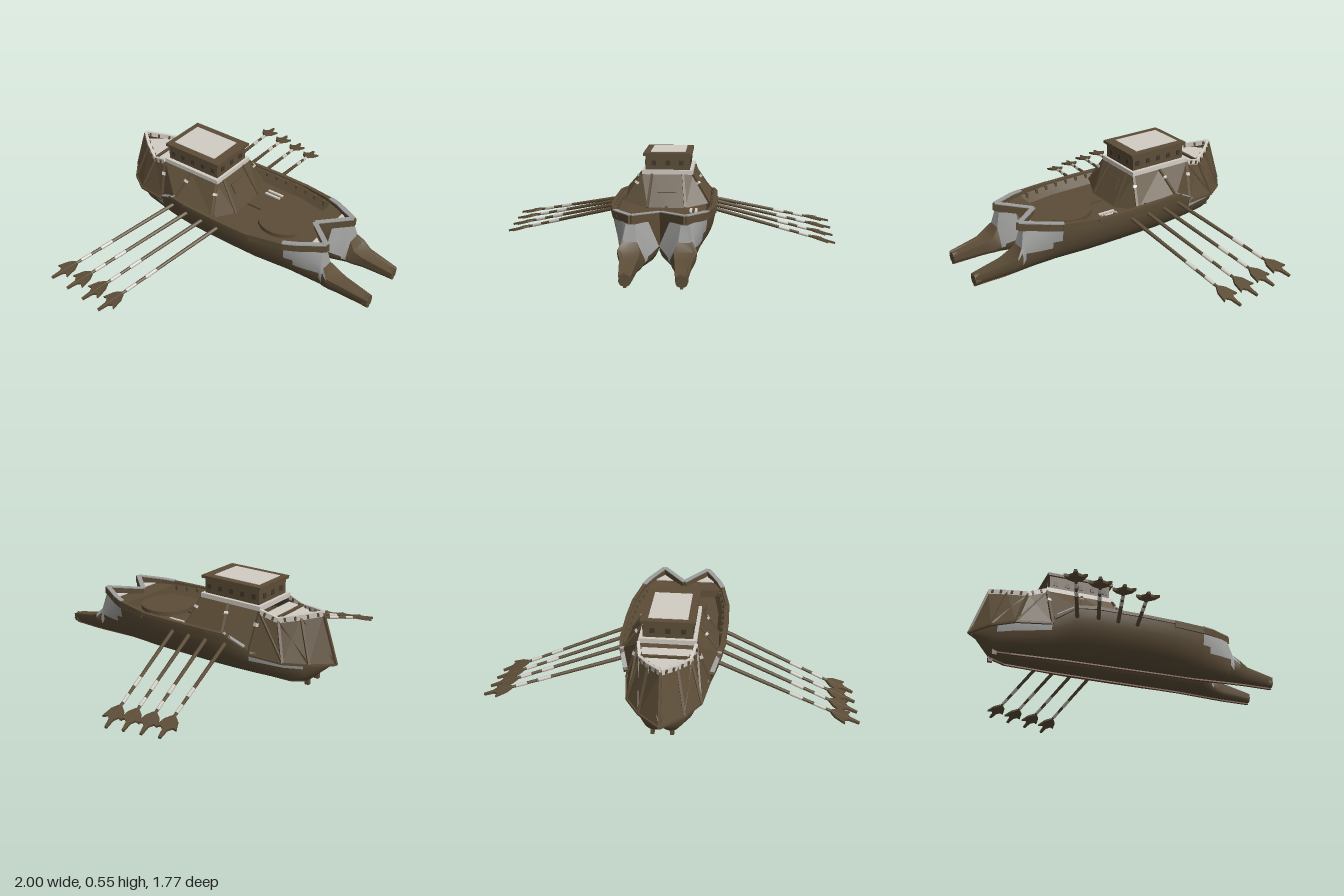
import * as THREE from 'three';
import { toCreasedNormals } from 'three/addons/utils/BufferGeometryUtils.js';

const mat = (name, color) => {
  const m = new THREE.MeshStandardMaterial({ color, side: THREE.DoubleSide });
  m.name = name;
  return m;
};
const wood = mat('brown wood', 0x5c4d37);
const dark = mat('dark wood', 0x41372a);
const keelRed = mat('reddish keel', 0x6a4a33);
const gray = mat('gray plating', 0x9d9e9c);
const pale = mat('pale panel', 0xd2cdc4);

const V = (p) => new THREE.Vector3(...p);

function add(parent, name, geo, material, pos = [0, 0, 0]) {
  const m = new THREE.Mesh(geo, material);
  m.name = name;
  m.position.set(...pos);
  parent.add(m);
  return m;
}
const box = (parent, name, size, pos, material) => add(parent, name, new THREE.BoxGeometry(...size), material, pos);

// Straight bar of section w x h between two points
function beam(parent, name, a, b, w, h, material) {
  const A = V(a), B = V(b);
  const m = add(parent, name, new THREE.BoxGeometry(w, h, A.distanceTo(B)), material);
  m.position.copy(A).add(B).multiplyScalar(0.5);
  m.lookAt(B);
}
function beams(parent, name, pts, w, h, material) {
  for (let i = 0; i + 1 < pts.length; i++) beam(parent, name, pts[i], pts[i + 1], w, h, material);
}

// Skin rows of points; pick(k, j) sorts each quad into a material
function skin(parent, name, rows, pick, crease) {
  const sets = new Map();
  for (let k = 0; k + 1 < rows.length; k++) {
    for (let j = 0; j + 1 < rows[k].length; j++) {
      const m = pick(k, j);
      if (!sets.has(m)) sets.set(m, []);
      const a = rows[k][j], b = rows[k][j + 1], c = rows[k + 1][j], d = rows[k + 1][j + 1];
      sets.get(m).push(...a, ...b, ...c, ...b, ...d, ...c);
    }
  }
  for (const [m, pos] of sets) {
    const g = new THREE.BufferGeometry();
    g.setAttribute('position', new THREE.Float32BufferAttribute(pos, 3));
    g.computeVertexNormals();
    add(parent, name + (m === wood ? '' : 'Panel'), toCreasedNormals(g, crease), m);
  }
}

// A value that runs in straight pieces from bow to stern through [z, value] points
const run = (...pts) => (z) => {
  const i = Math.max(1, pts.findIndex((p) => p[0] <= z));
  const [z0, v0] = pts[i - 1], [z1, v1] = pts[i];
  return v0 + (v1 - v0) * THREE.MathUtils.clamp((z0 - z) / (z0 - z1), 0, 1);
};

// Hull lines: plan widths, then heights
const outerX = run([0.88, 0.165], [0.705, 0.182], [0.615, 0.212], [0.52, 0.232], [0.4, 0.245], [0.2, 0.285], [0, 0.29],
  [-0.25, 0.285], [-0.36, 0.267], [-0.48, 0.22], [-0.66, 0.165], [-0.75, 0.115], [-0.86, 0.012]);
const innerX = run([0.88, 0.105], [0.705, 0.09], [0.615, 0.063], [0.52, 0], [-0.86, 0]);
const innerTopX = run([0.88, 0.105], [0.65, 0.085], [0.595, 0.115], [0.45, 0], [-0.86, 0]);
const keelX = run([0.88, 0.135], [0.7, 0.135], [0.4, 0.11], [-0.36, 0.095], [-0.66, 0.075], [-0.86, 0.005]);
const leanX = run([0.88, 0], [0.65, 0], [0.595, 0.055], [0.4, 0], [-0.86, 0]);
const keelY = run([0.88, 0.06], [-0.66, 0.06], [-0.75, 0.072], [-0.86, 0.175]);
const bilgeY = run([0.88, 0.085], [0.65, 0.1], [0.52, 0.165], [0.2, 0.17], [-0.36, 0.145], [-0.75, 0.1], [-0.86, 0.18]);
const topY = run([0.88, 0.118], [0.705, 0.15], [0.65, 0.174], [0.615, 0.215], [0.595, 0.3], [-0.25, 0.305], [-0.36, 0.3],
  [-0.48, 0.225], [-0.66, 0.21], [-0.86, 0.19]);
const stations = [0.88, 0.71, 0.705, 0.65, 0.615, 0.595, 0.52, 0.45, 0.4, 0.395, 0.2, 0, -0.25, -0.36, -0.48, -0.66, -0.75, -0.82, -0.86];

function hullRing(z) {
  const xi = innerX(z), xk = keelX(z), xo = outerX(z), yb = keelY(z), yt = topY(z), lean = leanX(z);
  const ring = [];
  for (let i = 0; i <= 9; i++) {
    const a = (i / 9) * Math.PI / 2, s = Math.sin(a);
    ring.push([xk + (xo - xk) * Math.cos(a) - lean * (1 - s) ** 2, yt - (yt - yb) * s, z]);
  }
  for (let i = 1; i <= 6; i++) {
    const b = (i / 6) * Math.PI / 2;
    ring.push([xk - (xk - xi) * Math.sin(b), yb + (bilgeY(z) - yb) * (1 - Math.cos(b)), z]);
  }
  const top = xo - lean, inner = innerTopX(z), w = top - inner;
  const deck = z >= 0.4 ? yt - 0.005 : Math.min(0.25, yt - 0.01);
  ring.push([inner, deck, z], [top - w * 0.2, deck, z], [top - w * 0.08, yt, z], [top, yt, z]);
  return ring;
}

// Superstructure outline pairs: foot and head of each rib
const ribs = [
  [[0, 0.25, -0.02], [0, 0.43, -0.12]],
  [[0.11, 0.25, -0.02], [0.09, 0.43, -0.12]],
  [[0.25, 0.27, -0.08], [0.15, 0.43, -0.12]],
  [[0.265, 0.295, -0.34], [0.15, 0.43, -0.3]],
  [[0.22, 0.205, -0.48], [0.15, 0.43, -0.5]],
  [[0.19, 0.195, -0.67], [0.13, 0.4, -0.6]],
  [[0.115, 0.19, -0.785], [0.07, 0.42, -0.7]],
  [[0, 0.18, -0.88], [0, 0.442, -0.79]],
];
const along = ([a, b], t) => a.map((v, i) => v + (b[i] - v) * t);

function buildHalf() {
  const half = new THREE.Group();
  half.name = 'shipHalf';

  // Hull with gray prow and stern plating
  skin(half, 'hull', stations.map(hullRing), (k, j) => {
    const nose = (k === 4 && (j < 4 || j > 13)) || (k === 3 && j < 1);
    const cheek = (k === 5 && (j < 3 || j === 15)) || (k === 6 && j < 3) || (k === 7 && j < 2);
    const quarter = (k === 14 || k === 15) && j < 2;
    return nose || cheek || quarter ? gray : wood;
  }, 0.6);
  const tip = new THREE.CylinderGeometry(0.032, 0.032, 0.03, 8).rotateX(Math.PI / 2);
  add(half, 'prowTip', tip, wood, [0.135, 0.09, 0.865]);
  beams(half, 'keel', stations.slice(0, 17).map((z) => [keelX(z), keelY(z), z]), 0.014, 0.014, keelRed);
  box(half, 'skeg', [0.02, 0.05, 0.025], [0.05, 0.075, -0.745], wood);

  // Rails, gray capped round the prow and at the quarter
  const side = stations.slice(10, 14).map((z) => [outerX(z) - 0.004, topY(z), z]);
  beams(half, 'sideRail', [...side, [0.225, 0.235, -0.47]], 0.022, 0.018, wood);
  beam(half, 'quarterRailCap', [0.263, 0.311, -0.35], [0.23, 0.25, -0.462], 0.026, 0.006, gray);
  const prow = [[0.279, 0.294, 0.2], [0.242, 0.304, 0.4], [0.215, 0.311, 0.47], [0.138, 0.323, 0.61], [0, 0.308, 0.45]];
  beams(half, 'prowRail', prow, 0.022, 0.04, wood);
  beams(half, 'prowRailCap', prow.slice(1).map(([x, y, z]) => [x, y + 0.021, z - 0.008]), 0.028, 0.006, gray);
  const patch = new THREE.Shape([[0.075, 0.505], [0.135, 0.58], [0.185, 0.505]].map((p) => new THREE.Vector2(...p)));
  add(half, 'foredeckPanel', new THREE.ExtrudeGeometry(patch, { depth: 0.005, bevelEnabled: false }).rotateX(Math.PI / 2), pale, [0, 0.304, 0]);

  // Bulwark posts
  for (let i = 0; i < 8; i++) {
    const z = 0.36 - i * 0.07;
    box(half, 'bulwarkPost', [0.022, 0.06, 0.014], [outerX(z) - 0.025, 0.275, z], wood);
  }

  // Superstructure skin, ribs and collars
  skin(half, 'superstructure', [ribs.map((r) => r[1]), ribs.map((r) => r[0])], () => wood, 0.1);
  ribs.slice(1).forEach((r) => beam(half, 'rib', r[0], r[1], 0.014, 0.014, wood));
  for (let i = 4; i < 7; i++) beam(half, 'braceRib', along(ribs[i + 1], 0.03), along(ribs[i], 0.97), 0.01, 0.01, wood);
  beams(half, 'shellEdge', ribs.slice(4).map((r) => r[0]), 0.012, 0.012, wood);
  for (const i of [2, 3, 4]) beam(half, 'ribCollar', along(ribs[i], 0.66), along(ribs[i], 0.74), 0.022, 0.022, pale);
  const stern = ribs.slice(4).map((r) => r[1]);
  beams(half, 'sternTrim', stern, 0.016, 0.028, pale);
  for (let i = 0; i < 3; i++) {
    const edge = [stern[i], stern[i + 1]];
    for (const t of [0.3, 0.75]) beam(half, 'sternCleat', along(edge, t - 0.05), along(edge, t + 0.05), 0.028, 0.02, wood);
  }

  // Cabin side windows
  for (let i = 0; i < 5; i++) box(half, 'cabinWindow', [0.006, 0.028, 0.024], [0.131, 0.495, -0.16 - i * 0.072], dark);
  return half;
}

// Oar from the hull to its tip, with pale sleeves and a barbed blade
function buildOar(start, end) {
  const oar = new THREE.Group();
  oar.name = 'oar';
  const L = V(start).distanceTo(V(end));
  const rod = (name, r0, r1, a, b, m) => add(oar, name, new THREE.CylinderGeometry(r1, r0, b - a, 8).rotateX(Math.PI / 2), m, [0, 0, (a + b) / 2]);
  rod('oarShaft', 0.0115, 0.007, -0.03, L - 0.02, wood);
  rod('oarSleeve', 0.0105, 0.0105, L * 0.52, L * 0.61, pale);
  rod('oarSleeve', 0.0095, 0.0095, L * 0.69, L * 0.77, pale);
  const edge = [[0.01, 0], [0.036, 0.03], [0.054, 0.09], [0.03, 0.08], [0.012, 0.1], [0.006, 0.155]];
  const pts = [...edge, ...edge.map(([x, y]) => [-x, y]).reverse()].map((p) => new THREE.Vector2(...p));
  const blade = new THREE.ExtrudeGeometry(new THREE.Shape(pts), { depth: 0.012, bevelEnabled: false });
  add(oar, 'oarBlade', blade.rotateX(Math.PI / 2), wood, [0, 0.006, L - 0.155]);
  oar.position.set(...start);
  oar.lookAt(V(end));
  return oar;
}

export function createModel() {
  const ship = new THREE.Group();
  ship.name = 'galley';
  const left = buildHalf(), right = left.clone();
  right.scale.x = -1;
  ship.add(left, right);

  // Deck fittings
  add(ship, 'deckDisc', new THREE.CylinderGeometry(0.155, 0.155, 0.024, 40), wood, [0, 0.262, 0.25]);
  box(ship, 'deckBeam', [0.014, 0.012, 0.1], [0, 0.256, 0.04], wood);
  for (const x of [0.145, 0.175]) box(ship, 'deckSlot', [0.014, 0.008, 0.1], [x, 0.254, 0.06], pale);
  beam(ship, 'cabinDoor', along(ribs[0], 0.45), along(ribs[0], 0.74), 0.11, 0.016, wood);

  // Cabin, roof and pale trim
  box(ship, 'cabinTrim', [0.3, 0.026, 0.385], [0, 0.442, -0.307], pale);
  box(ship, 'cabin', [0.26, 0.095, 0.35], [0, 0.498, -0.305], wood);
  box(ship, 'roof', [0.285, 0.016, 0.38], [0, 0.546, -0.303], wood);
  box(ship, 'roofPanel', [0.205, 0.004, 0.29], [0, 0.555, -0.315], pale);
  for (const x of [-0.08, 0, 0.08]) {
    for (const z of [-0.129, -0.481]) box(ship, 'cabinWindow', [0.026, 0.028, 0.006], [x, 0.495, z], dark);
  }

  // Stern deck
  const edge = [[0.14, 0.5], [0.125, 0.6], [0.065, 0.7], [0, 0.78]];
  const outline = [...edge, ...edge.slice(0, 3).reverse().map(([x, y]) => [-x, y])];
  const deck = new THREE.Shape(outline.map((p) => new THREE.Vector2(...p)));
  add(ship, 'sternDeck', new THREE.ShapeGeometry(deck).rotateX(-Math.PI / 2), pale, [0, 0.405, 0]);
  box(ship, 'sternBeam', [0.25, 0.014, 0.014], [0, 0.41, -0.595], wood);

  // Four oars a side, the right bank swept further back
  for (let i = 0; i < 4; i++) {
    const x = i === 3 ? 0.255 : 0.28, z = -0.02 - 0.112 * i;
    ship.add(
      buildOar([x, 0.25, z], [0.995, 0.014 + 0.02 * i, -0.19 - 0.113 * i]),
      buildOar([-x, 0.25, z], [-0.995, 0.04 + 0.014 * i, -0.26 - 0.115 * i]),
    );
  }
  return ship;
}
